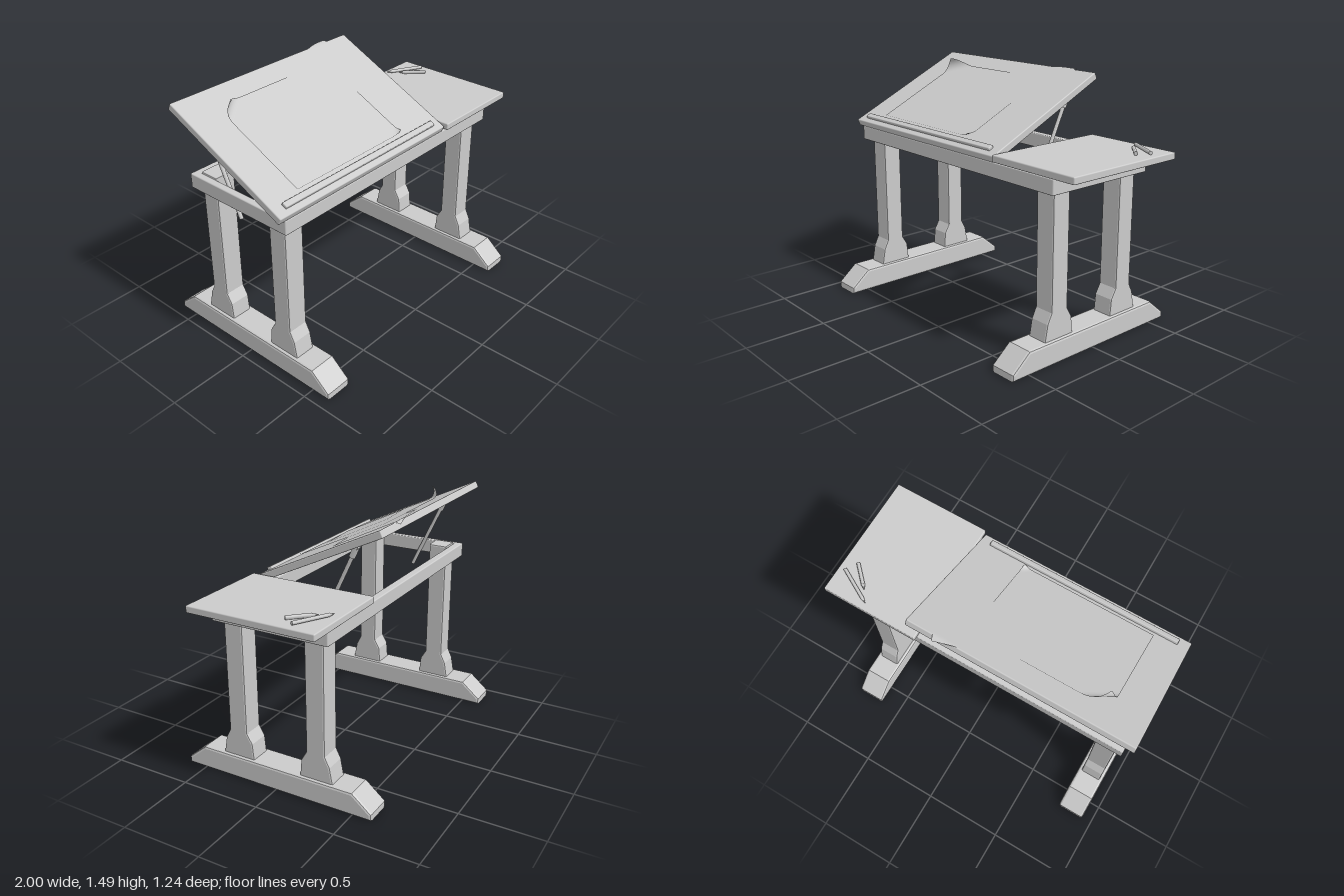
import * as THREE from 'three';
import { RoundedBoxGeometry } from 'three/addons/geometries/RoundedBoxGeometry.js';

const grey = new THREE.MeshStandardMaterial({ color: 0xcccccc });
const paperGrey = new THREE.MeshStandardMaterial({ color: 0xcccccc, side: THREE.DoubleSide });

function add(parent, name, geometry, material = grey) {
  const mesh = new THREE.Mesh(geometry, material);
  mesh.name = name;
  parent.add(mesh);
  return mesh;
}

// Softly rounded box given by its [min, max] on each axis
function slab(parent, name, [x0, x1], [y0, y1], [z0, z1], radius = 0.007) {
  const mesh = add(parent, name, new RoundedBoxGeometry(x1 - x0, y1 - y0, z1 - z0, 2, radius));
  mesh.position.set((x0 + x1) / 2, (y0 + y1) / 2, (z0 + z1) / 2);
  return mesh;
}

// Side profile of [z, y] points, extruded across x with a chamfered edge
function profile(parent, name, points, width, bevel) {
  const shape = new THREE.Shape(points.map(([z, y]) => new THREE.Vector2(z, y)));
  const depth = width - 2 * bevel;
  const geometry = new THREE.ExtrudeGeometry(shape, {
    depth, bevelThickness: bevel, bevelSize: bevel, bevelOffset: -bevel, bevelSegments: 2,
  });
  geometry.translate(0, 0, -depth / 2);
  geometry.rotateY(-Math.PI / 2);
  return add(parent, name, geometry);
}

// Round bar between two points
function bar(parent, name, from, to, r0, r1 = r0, sides = 12) {
  const a = new THREE.Vector3(...from), b = new THREE.Vector3(...to);
  const dir = b.clone().sub(a);
  const mesh = add(parent, name, new THREE.CylinderGeometry(r1, r0, dir.length(), sides));
  mesh.position.copy(a).add(b).multiplyScalar(0.5);
  mesh.quaternion.setFromUnitVectors(new THREE.Vector3(0, 1, 0), dir.normalize());
  return mesh;
}

// Paper sheet from four corners; each curl rolls the part beyond a fold line
function sheet(parent, name, [bl, br, tr, tl], lift, curls = []) {
  const geometry = new THREE.PlaneGeometry(1, 1, 40, 40);
  const pos = geometry.attributes.position;
  const mix = THREE.MathUtils.lerp;
  for (let i = 0; i < pos.count; i++) {
    const s = pos.getX(i) + 0.5, t = pos.getY(i) + 0.5;
    let x = mix(mix(bl[0], br[0], s), mix(tl[0], tr[0], s), t);
    let y = mix(mix(bl[1], br[1], s), mix(tl[1], tr[1], s), t);
    let z = lift;
    for (const { at, dir, radius, sign } of curls) {
      const d = (x - at[0]) * dir[0] + (y - at[1]) * dir[1];
      if (d <= 0) continue;
      const shift = radius * Math.sin(d / radius) - d;
      x += dir[0] * shift;
      y += dir[1] * shift;
      z += sign * radius * (1 - Math.cos(d / radius));
    }
    pos.setXYZ(i, x, y, z);
  }
  geometry.computeVertexNormals();
  return add(parent, name, geometry, paperGrey);
}

export function createModel() {
  const model = new THREE.Group();
  model.name = 'draftingTable';

  // Two trestles, each a sloped foot with two flared legs
  const footPoints = [[-0.62, 0], [0.62, 0], [0.62, 0.04], [0.5, 0.14], [-0.5, 0.14], [-0.62, 0.04]];
  const legPoints = [[0.155, 0.13], [0.37, 0.13], [0.35, 0.24], [0.32, 0.3],
    [0.32, 1.08], [0.2, 1.08], [0.2, 0.3], [0.165, 0.24]];
  for (const x of [-0.85, 0.72]) {
    const trestle = new THREE.Group();
    trestle.name = 'trestle';
    trestle.position.x = x;
    model.add(trestle);
    profile(trestle, 'foot', footPoints, 0.172, 0.014);
    profile(trestle, 'frontLeg', legPoints, 0.13, 0.01);
    profile(trestle, 'backLeg', legPoints, 0.13, 0.01).rotation.y = Math.PI;
  }

  // Open frame with a cross rail under the table's inner edge
  const frame = new THREE.Group();
  frame.name = 'frame';
  model.add(frame);
  const height = [0.98, 1.07];
  slab(frame, 'frontRail', [-0.955, 0.825], height, [0.32, 0.37]);
  slab(frame, 'backRail', [-0.955, 0.825], height, [-0.37, -0.32]);
  slab(frame, 'rightRail', [-0.955, -0.91], height, [-0.365, 0.365]);
  slab(frame, 'leftRail', [0.78, 0.825], height, [-0.365, 0.365]);
  slab(frame, 'crossRail', [0.325, 0.375], height, [-0.365, 0.365]);

  // Flat side table with two pencils
  slab(model, 'sideTable', [0.38, 1], [1.08, 1.122], [-0.4, 0.4]);
  for (const [tip, end] of [[[0.735, -0.36], [0.955, -0.24]], [[0.785, -0.295], [0.91, -0.17]]]) {
    const pencil = new THREE.Group();
    pencil.name = 'pencil';
    model.add(pencil);
    const y = 1.134;
    const a = new THREE.Vector3(tip[0], y, tip[1]), b = new THREE.Vector3(end[0], y, end[1]);
    const neck = a.clone().lerp(b, 0.035 / a.distanceTo(b));
    bar(pencil, 'pencilBody', neck.toArray(), b.toArray(), 0.012, 0.012, 6);
    bar(pencil, 'pencilTip', neck.toArray(), a.toArray(), 0.012, 0.001, 6);
  }

  // Tilted board: local y runs up the slope, local z is its normal
  const tilt = Math.atan2(0.384, 0.807);
  const board = new THREE.Group();
  board.name = 'tiltingBoard';
  board.position.set(0, 1.106, 0.385);
  board.rotation.x = tilt - Math.PI / 2;
  model.add(board);
  slab(board, 'drawingBoard', [-1, 0.37], [0, 0.894], [-0.045, 0]);
  slab(board, 'pencilLedge', [-0.93, 0.305], [0.037, 0.073], [-0.004, 0.018], 0.006);

  // Loose sheets, some with curled corners
  sheet(board, 'backSheet', [[-0.13, 0.415], [0.33, 0.545], [0.19, 0.93], [-0.27, 0.8]], 0.003,
    [{ at: [0, 0.885], dir: [0, 1], radius: 0.04, sign: -1 }]);
  sheet(board, 'largeSheet', [[-0.79, 0.1], [0.06, 0.1], [0.06, 0.755], [-0.79, 0.755]], 0.006, [
    { at: [-0.725, 0.67], dir: [-0.6, 0.8], radius: 0.05, sign: 1 },
    { at: [0.03, 0.13], dir: [Math.SQRT1_2, -Math.SQRT1_2], radius: 0.04, sign: 1 },
  ]);
  sheet(board, 'smallSheet', [[-0.57, 0.1], [-0.11, 0.22], [-0.22, 0.615], [-0.67, 0.5]], 0.009);

  // Telescopic struts holding the board up
  for (const x of [-0.9, 0.305]) {
    const strut = new THREE.Group();
    strut.name = 'strut';
    model.add(strut);
    bar(strut, 'strutRod', [x, 0.89, -0.03], [x, 1.34, -0.24], 0.012);
    bar(strut, 'strutCollar', [x, 1.295, -0.219], [x, 1.355, -0.247], 0.019);
    bar(strut, 'strutPivot', [x - 0.02, 1.358, -0.25], [x + 0.02, 1.358, -0.25], 0.014);
  }
  return model;
}
